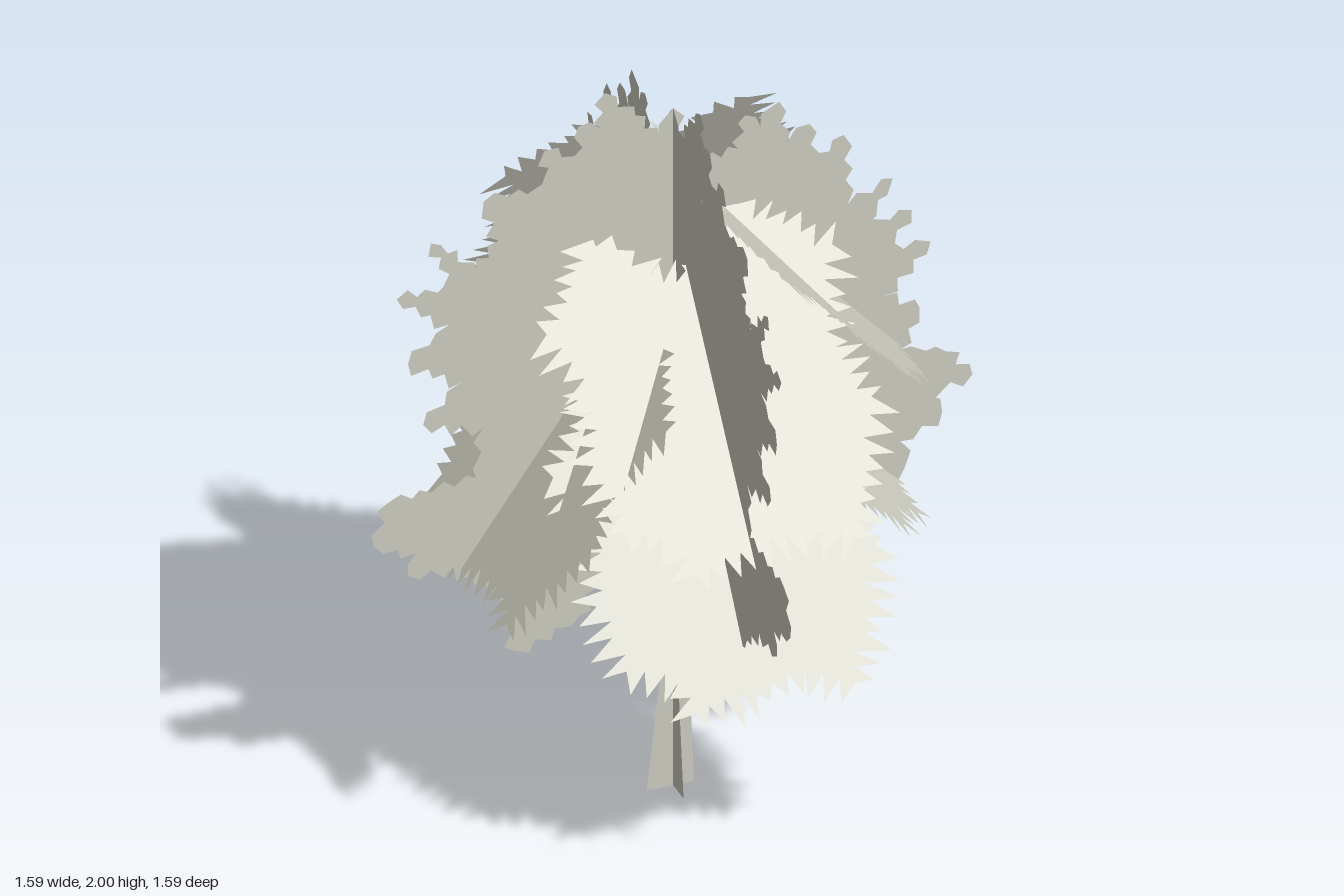
import * as THREE from 'three';

const material = new THREE.MeshStandardMaterial({ color: 0xccccc0, side: THREE.DoubleSide });

// Seeded random numbers
function seeded(seed) {
  return () => (seed = (seed * 16807) % 2147483647) / 2147483647;
}

// Tree outline, counter-clockwise: trunk, right side, crown, left side
const treeOutline = [
  [-0.07, 0], [0.055, 0], [0.045, 0.25], [0.04, 0.52], [0.06, 0.64], [0.12, 0.72],
  [0.2, 0.64], [0.22, 0.52], [0.31, 0.48], [0.35, 0.51], [0.33, 0.6], [0.47, 0.64],
  [0.45, 0.74], [0.61, 0.77], [0.6, 0.85], [0.71, 0.91], [0.66, 0.97], [0.79, 1.0],
  [0.72, 1.08], [0.6, 1.11], [0.65, 1.22], [0.55, 1.27], [0.68, 1.4], [0.55, 1.39],
  [0.63, 1.5], [0.5, 1.48], [0.58, 1.6], [0.46, 1.55], [0.45, 1.75], [0.37, 1.68],
  [0.36, 1.8], [0.3, 1.76], [0.28, 1.88], [0.23, 1.82], [0.19, 1.86], [0.17, 1.77],
  [0.08, 1.75], [0.02, 1.79], [0, 1.92], [-0.04, 1.85], [-0.1, 1.92], [-0.18, 2],
  [-0.19, 1.9], [-0.25, 1.92], [-0.24, 1.81], [-0.34, 1.87], [-0.32, 1.76], [-0.5, 1.76],
  [-0.46, 1.64], [-0.52, 1.57], [-0.64, 1.67], [-0.57, 1.53], [-0.73, 1.53], [-0.59, 1.43],
  [-0.7, 1.34], [-0.56, 1.26], [-0.66, 1.16], [-0.5, 1.12], [-0.52, 0.98], [-0.75, 0.96],
  [-0.79, 0.84], [-0.68, 0.8], [-0.7, 0.74], [-0.58, 0.74], [-0.45, 0.64], [-0.42, 0.47],
  [-0.25, 0.53], [-0.18, 0.69], [-0.07, 0.73], [-0.03, 0.5], [-0.03, 0.35],
];

// Leaf spray outline: u across, v from the low end (0) to the high end (1)
const sprayOutline = [
  [-0.15, 0.04], [0.01, 0.07], [0.14, 0.1], [0.26, 0.04], [0.34, 0.25], [0.38, 0.4],
  [0.32, 0.55], [0.33, 0.68], [0.37, 0.82], [0.26, 0.9], [0.17, 0.98], [0.09, 0.86],
  [0.01, 0.8], [-0.1, 0.84], [-0.16, 0.93], [-0.25, 0.97], [-0.29, 0.86], [-0.38, 0.75],
  [-0.31, 0.57], [-0.34, 0.38], [-0.3, 0.19], [-0.18, 0.13],
];

// Cuts ragged leaf teeth into an outline; smooth(x, y) marks the bare stretches
function ragged(points, step, depth, seed, smooth = () => false) {
  const random = seeded(seed);
  const result = [];
  points.forEach(([x0, y0], i) => {
    const [x1, y1] = points[(i + 1) % points.length];
    result.push(new THREE.Vector2(x0, y0));
    if (smooth(x0, y0) || smooth(x1, y1)) return;
    const dx = x1 - x0, dy = y1 - y0, length = Math.hypot(dx, dy);
    const pairs = Math.max(1, Math.round(length / step));
    for (let k = 1; k < pairs * 2; k++) {
      const t = (k + (random() - 0.5) * 0.5) / (pairs * 2);
      const out = (k % 2 ? 0.5 + random() * 0.7 : -0.35 * random()) * depth;
      result.push(new THREE.Vector2(
        x0 + dx * t + (dy / length) * out,
        y0 + dy * t - (dx / length) * out - Math.abs(out) * 0.2,
      ));
    }
  });
  return new THREE.ShapeGeometry(new THREE.Shape(result));
}

// Tilted leaf card spanning from its low end to its high end
function leafCard(name, low, high, side, seed) {
  const origin = new THREE.Vector3(...low);
  const up = new THREE.Vector3(...high).sub(origin);
  const across = new THREE.Vector3(...side).normalize();
  const out = across.clone().cross(up).normalize();
  const geometry = ragged(sprayOutline, 0.045, 0.06, seed);
  geometry.applyMatrix4(new THREE.Matrix4().makeBasis(across, up, out).setPosition(origin));
  geometry.computeVertexNormals();
  const mesh = new THREE.Mesh(geometry, material);
  mesh.name = name;
  return mesh;
}

export function createModel() {
  const tree = new THREE.Group();
  tree.name = 'tree';

  // Two crossed upright cards with trunk and crown
  const bare = (x, y) => Math.abs(x) < 0.1 && y < 0.68;
  const silhouette = ragged(treeOutline, 0.06, 0.022, 11, bare);
  ['trunkAndCrownAcross', 'trunkAndCrownAlong'].forEach((name, i) => {
    const card = new THREE.Mesh(silhouette, material);
    card.name = name;
    card.rotation.y = i * Math.PI / 2;
    tree.add(card);
  });

  // Drooping leaf cards around the crown: low end, high end, sideways direction
  const cards = [
    ['upperFrontLeaves', [0, 0.9, 0.57], [0, 1.63, 0.0], [1, 0.08, 0.08]],
    ['lowerFrontLeaves', [0, 0.5, 0.57], [0, 1.24, 0.06], [1, 0.05, 0.08]],
    ['upperLeftLeaves', [0.62, 1.1, 0], [0.0, 1.76, 0], [0, 0, -1]],
    ['lowerLeftLeaves', [0.62, 0.72, 0], [0.03, 1.27, 0], [0.06, 0.08, -1]],
    ['rightLeaves', [-0.58, 0.7, 0.02], [-0.1, 1.38, 0.02], [0.04, -0.03, 1]],
    ['backLeaves', [0, 1.0, -0.53], [0, 1.86, -0.11], [-1, 0, 0]],
  ];
  cards.forEach(([name, low, high, side], i) => tree.add(leafCard(name, low, high, side, 101 + i * 37)));

  return tree;
}
